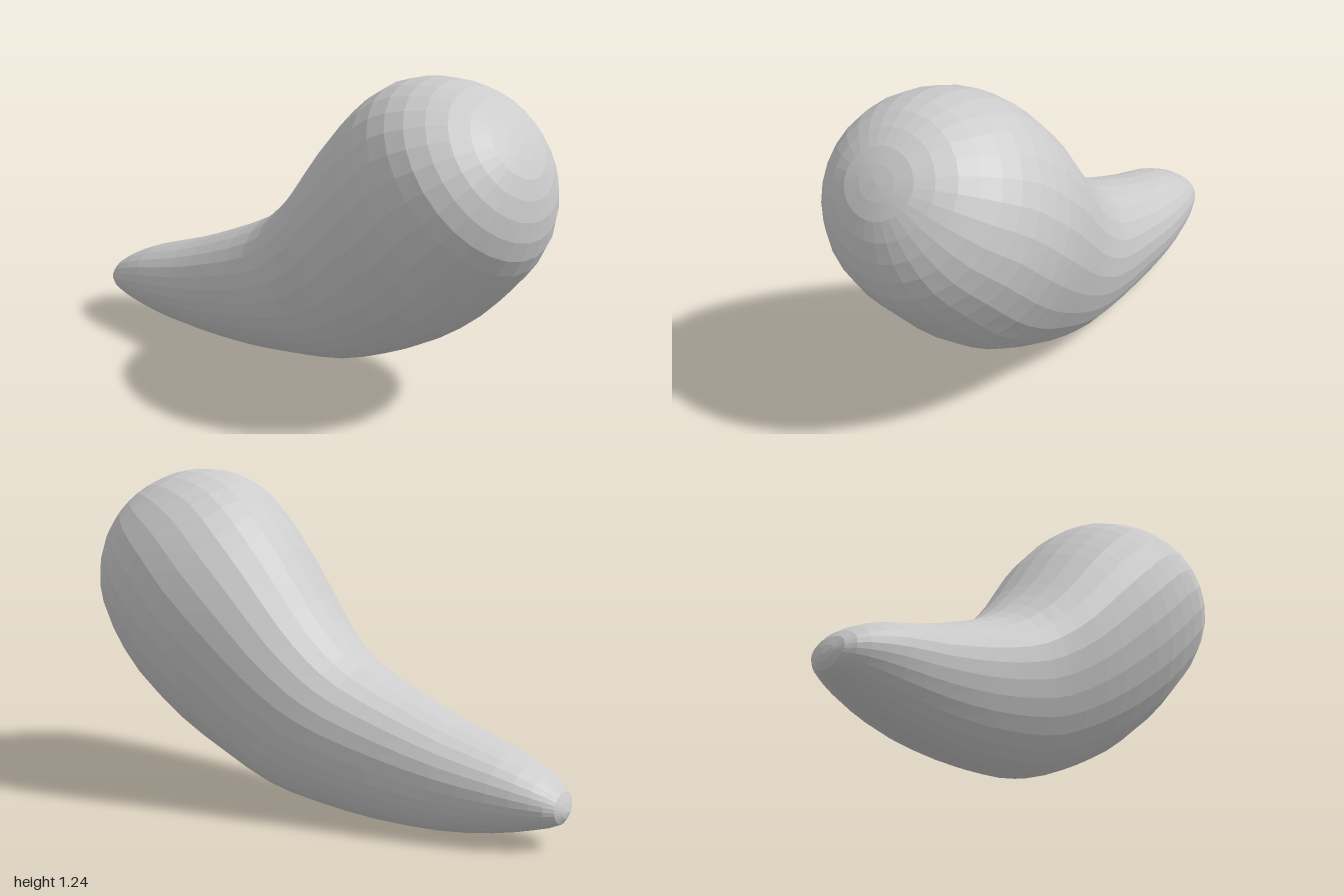
import * as THREE from 'three';

// Cross-sections from the round end to the tail:
// [top z, top y, bottom z, bottom y, half width, centre x]
const SECTIONS = [
  [0.915, 1.075, 0.915, 1.075, 0, -0.045],
  [0.83, 1.165, 0.975, 0.97, 0.135, -0.045],
  [0.70, 1.23, 1.0, 0.83, 0.26, -0.045],
  [0.55, 1.24, 0.975, 0.69, 0.35, -0.038],
  [0.40, 1.20, 0.89, 0.56, 0.387, -0.015],
  [0.27, 1.10, 0.745, 0.40, 0.387, 0.005],
  [0.15, 0.965, 0.565, 0.26, 0.355, 0.015],
  [0.02, 0.785, 0.37, 0.155, 0.31, 0.02],
  [-0.09, 0.66, 0.16, 0.068, 0.272, 0.03],
  [-0.20, 0.57, -0.04, 0.03, 0.245, 0.03],
  [-0.38, 0.48, -0.28, 0.005, 0.215, 0.02],
  [-0.58, 0.395, -0.54, 0.005, 0.19, 0.01],
  [-0.78, 0.325, -0.74, 0.028, 0.16, -0.005],
  [-0.91, 0.26, -0.89, 0.063, 0.12, -0.015],
  [-0.975, 0.205, -0.98, 0.095, 0.07, -0.02],
  [-1.0, 0.14, -1.0, 0.14, 0, -0.02],
];
const SIDES = 28;
const ROWS = (SECTIONS.length - 1) * 2;
const ROLL = 0.13; // sideways lean, growing toward the tail
const EGG = 0.15; // sections behind the round end are narrower below

const curveOf = (pick) =>
  new THREE.CatmullRomCurve3(SECTIONS.map((s) => new THREE.Vector3(...pick(s))), false, 'catmullrom');

function bodyGeometry() {
  const topCurve = curveOf((s) => [s[5], s[1], s[0]]);
  const bottomCurve = curveOf((s) => [s[5], s[3], s[2]]);
  const widthCurve = curveOf((s) => [s[4], 0, 0]);
  const positions = [];
  const index = [];

  // Egg-shaped rings strung along the bent spine
  for (let i = 0; i <= ROWS; i++) {
    const t = i / ROWS;
    const top = topCurve.getPoint(t);
    const centre = top.clone().add(bottomCurve.getPoint(t)).multiplyScalar(0.5);
    const up = top.sub(centre);
    const halfWidth = widthCurve.getPoint(t).x;
    const egg = EGG * THREE.MathUtils.smoothstep(t, 0.25, 0.5);
    up.x = -ROLL * t * up.length();
    for (let j = 0; j < SIDES; j++) {
      const a = (j / SIDES) * Math.PI * 2;
      const p = centre.clone().addScaledVector(up, Math.sin(a));
      positions.push(p.x + Math.cos(a) * halfWidth * (1 + egg * Math.sin(a)), p.y, p.z);
    }
  }

  // Skin between neighbouring rings; the end rings close to points
  for (let i = 0; i < ROWS; i++) {
    for (let j = 0; j < SIDES; j++) {
      const k = (j + 1) % SIDES;
      const a = i * SIDES + j, b = a + SIDES;
      const c = i * SIDES + k, d = c + SIDES;
      if (i < ROWS - 1) index.push(a, b, d);
      else index.push(a, b, c);
      if (i > 0 && i < ROWS - 1) index.push(a, d, c);
    }
  }

  const geometry = new THREE.BufferGeometry();
  geometry.setAttribute('position', new THREE.Float32BufferAttribute(positions, 3));
  geometry.setIndex(index);
  geometry.computeVertexNormals();
  return geometry;
}

export function createModel() {
  const group = new THREE.Group();
  group.name = 'bentTeardrop';
  const material = new THREE.MeshStandardMaterial({ color: 0xcccccc, flatShading: true });
  const body = new THREE.Mesh(bodyGeometry(), material);
  body.name = 'body';
  group.add(body);
  return group;
}
